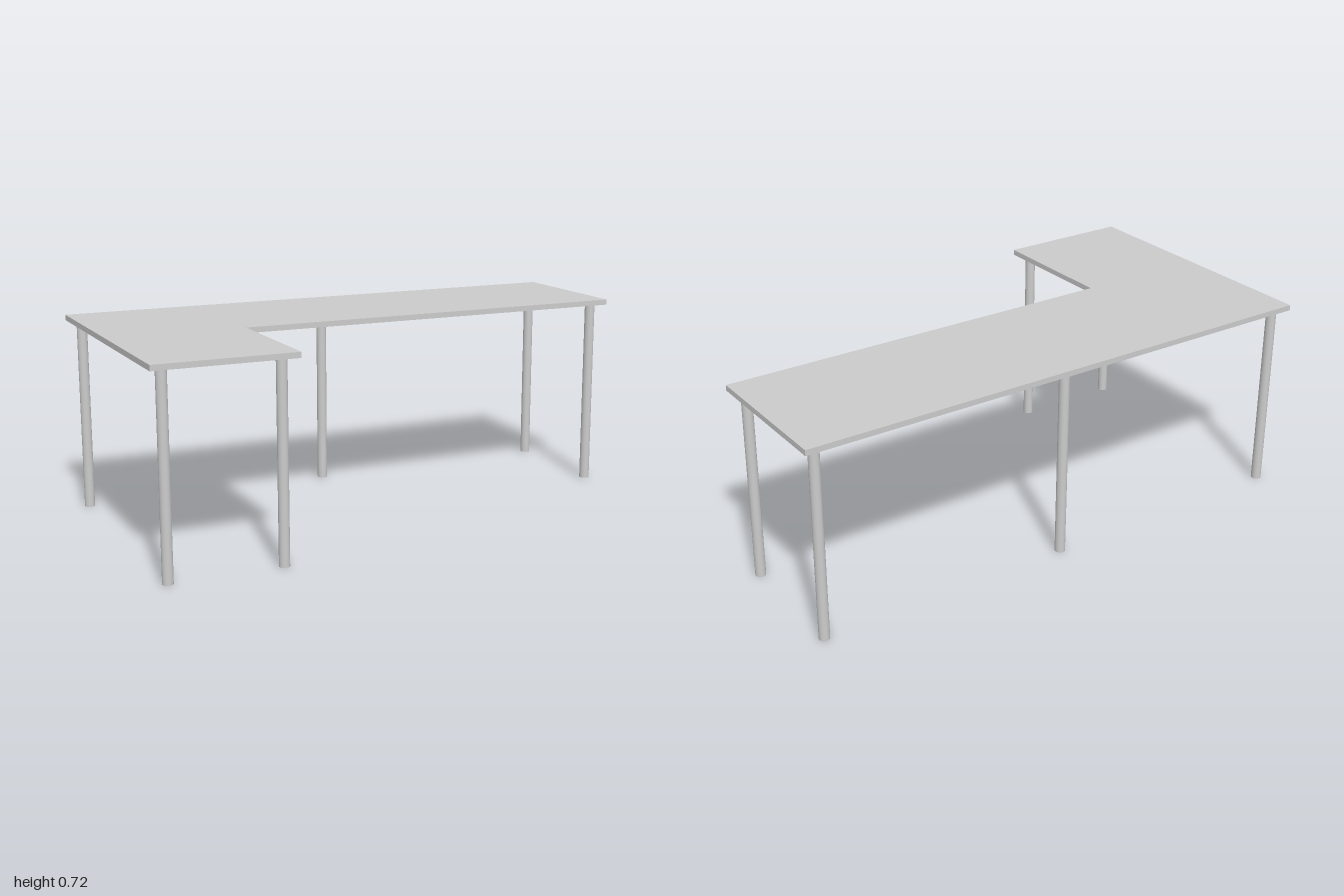
import * as THREE from 'three';

export function createModel() {
  const model = new THREE.Group();
  model.name = 'cornerDesk';
  const material = new THREE.MeshStandardMaterial({ color: 0xcccccc });

  const underside = 0.702, thickness = 0.02;
  const back = -0.522, front = 0.522, inner = 0.022;

  // L-shaped top, drawn in plan (shape y = -z) and laid flat
  const outline = new THREE.Shape([
    [-1, front], [-0.5, front], [-0.5, inner], [1, inner], [1, back], [-1, back],
  ].map(([x, z]) => new THREE.Vector2(x, -z)));
  const topGeometry = new THREE.ExtrudeGeometry(outline, { depth: thickness, bevelEnabled: false });
  topGeometry.rotateX(-Math.PI / 2);
  const top = new THREE.Mesh(topGeometry, material);
  top.name = 'deskTop';
  top.position.y = underside;
  model.add(top);

  // Round legs: three along the back, one at the right front, two under the return
  const legGeometry = new THREE.CylinderGeometry(0.0187, 0.0187, underside, 32);
  const legs = {
    backLegRight: [-0.952, -0.477],
    backLegMiddle: [0, -0.477],
    backLegLeft: [0.95, -0.477],
    frontLegLeft: [0.95, -0.02],
    returnLegOuter: [-0.952, 0.48],
    returnLegInner: [-0.552, 0.48],
  };
  for (const [name, [x, z]] of Object.entries(legs)) {
    const leg = new THREE.Mesh(legGeometry, material);
    leg.name = name;
    leg.position.set(x, underside / 2, z);
    model.add(leg);
  }
  return model;
}
